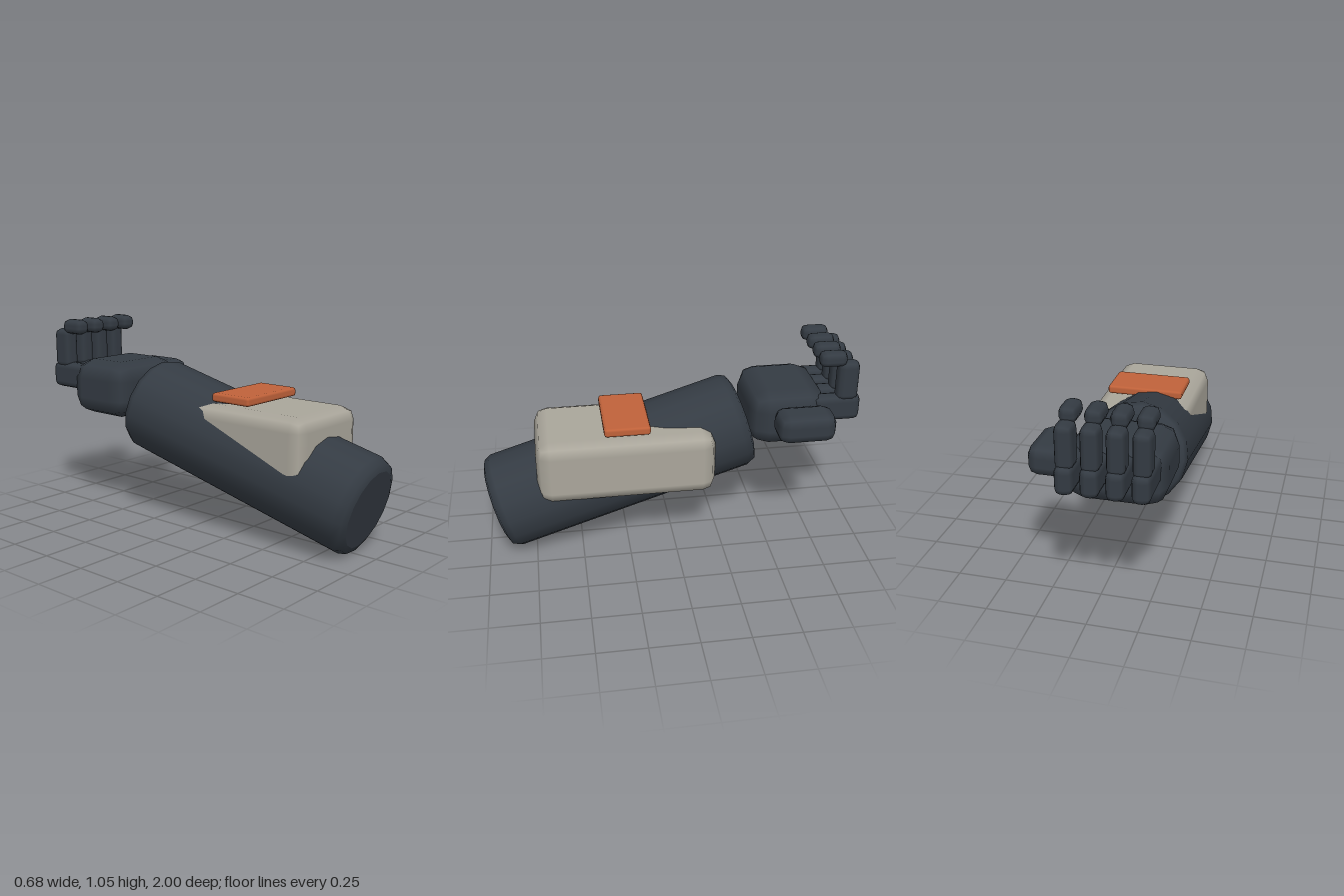
import * as THREE from 'three';
import { RoundedBoxGeometry } from 'three/addons/geometries/RoundedBoxGeometry.js';

export function createModel() {
  const model = new THREE.Group();
  model.name = 'roboticForearm';

  const mat = (name, color) => {
    const m = new THREE.MeshStandardMaterial({ color });
    m.name = name;
    return m;
  };
  const dark = mat('dark slate', 0x343b43);
  const grey = mat('warm grey', 0xaaa69b);
  const orange = mat('burnt orange', 0xc0623a);

  // Bevelled block given by its extents on each axis
  const block = (name, material, [x0, x1], [y0, y1], [z0, z1], radius, parent = model) => {
    const geo = new RoundedBoxGeometry(x1 - x0, y1 - y0, z1 - z0, 1, radius);
    const mesh = new THREE.Mesh(geo, material);
    mesh.name = name;
    mesh.position.set((x0 + x1) / 2, (y0 + y1) / 2, (z0 + z1) / 2);
    parent.add(mesh);
    return mesh;
  };

  // Forearm: sloping cylinder with rounded rims and flat caps
  const elbow = new THREE.Vector3(0.01, 0.241, 0.945);
  const wrist = new THREE.Vector3(-0.085, 0.615, -0.405);
  const axis = wrist.clone().sub(elbow);
  const len = axis.length();
  const rim = [[0.205, 0], [0.205, 0], [0.243, 0.015], [0.26, 0.053]];
  const profile = [
    [0, 0], ...rim,
    ...rim.map(([r, h]) => [r, len - h]).reverse(), [0, len],
  ].map(([r, h]) => new THREE.Vector2(r, h));
  const forearm = new THREE.Mesh(new THREE.LatheGeometry(profile, 16), dark);
  forearm.name = 'forearm';
  forearm.position.copy(elbow);
  forearm.quaternion.setFromUnitVectors(new THREE.Vector3(0, 1, 0), axis.normalize());
  model.add(forearm);

  // Armour cuff and the panel on top of it
  block('cuff', grey, [-0.26, 0.26], [0.35, 0.69], [-0.21, 0.72], 0.07);
  block('cuffPanel', orange, [-0.205, 0.205], [0.7, 0.747], [0.127, 0.367], 0.015);

  // Hand
  const hand = new THREE.Group();
  hand.name = 'hand';
  model.add(hand);
  block('palm', dark, [-0.33, 0.155], [0.535, 0.843], [-0.825, -0.41], 0.1, hand);
  block('thumb', dark, [0.15, 0.335], [0.645, 0.8], [-0.82, -0.515], 0.055, hand);

  // Four curled fingers, each of three segments
  for (let i = 0; i < 4; i++) {
    const x = -0.258 + i * 0.1175;
    const finger = new THREE.Group();
    finger.name = `finger${i + 1}`;
    hand.add(finger);
    const span = (w) => [x - w / 2, x + w / 2];
    block('lowerSegment', dark, span(0.09), [0.665, 0.81], [-1, -0.74], 0.035, finger);
    block('middleSegment', dark, span(0.088), [0.78, 1.0], [-0.982, -0.865], 0.033, finger);
    block('fingertip', dark, span(0.086), [0.975, 1.057], [-0.91, -0.763], 0.033, finger);
  }

  return model;
}
